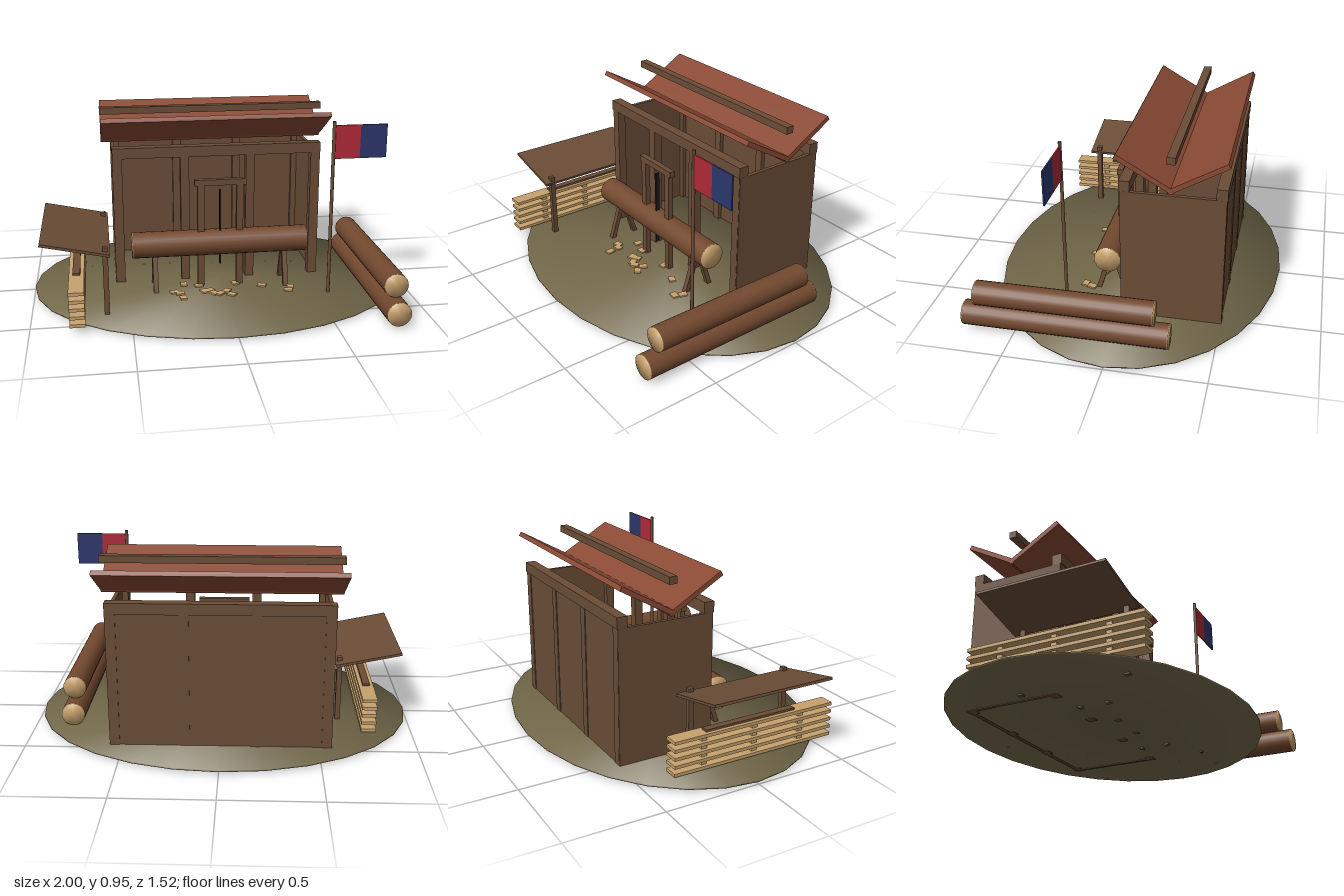
import * as THREE from 'three';

const mat = (name, color, side = THREE.FrontSide) => {
  const m = new THREE.MeshStandardMaterial({ color, side });
  m.name = name;
  return m;
};

export function createModel() {
  const model = new THREE.Group();
  model.name = 'sawmill';
  const timber = mat('timber brown', 0x6b4d37);
  const bark = mat('bark brown', 0x73492f);
  const sawn = mat('sawn wood', 0xc8a26e);
  const roofRed = mat('roof red brown', 0x8a4a35);
  const earth = mat('earth', 0x72684a);
  const steel = mat('dark steel', 0x1a1a1c);
  const red = mat('flag red', 0xb02a38);
  const blue = mat('flag blue', 0x2c376c);

  const add = (name, geometry, material, x, y, z, parent = model) => {
    const m = new THREE.Mesh(geometry, material);
    m.name = name;
    m.position.set(x, y, z);
    parent.add(m);
    return m;
  };
  const box = (name, material, w, h, d, x, y, z, parent) =>
    add(name, new THREE.BoxGeometry(w, h, d), material, x, y, z, parent);

  // Cylinder with softly rounded shading over its rims
  const softCylinder = (r, h, sides) => {
    const g = new THREE.CylinderGeometry(r, r, h, sides);
    const p = g.attributes.position;
    const n = new THREE.Vector3();
    for (let i = 0; i < p.count; i++) {
      n.set(p.getX(i) / r, Math.sign(p.getY(i)), p.getZ(i) / r).normalize();
      g.attributes.normal.setXYZ(i, n.x, n.y, n.z);
    }
    return g;
  };

  // Log lying along x or z, with pale cut ends
  const log = (name, r, length, axis, x, y, z) => {
    const g = new THREE.Group();
    g.name = name;
    add('bark', new THREE.CylinderGeometry(r, r, length - 0.008, 20, 1, true), bark, 0, 0, 0, g);
    for (const s of [-1, 1]) {
      add('cutEnd', softCylinder(r * 0.99, 0.008, 20), sawn, 0, s * (length / 2 - 0.004), 0, g);
    }
    if (axis === 'x') g.rotation.z = Math.PI / 2;
    else g.rotation.x = Math.PI / 2;
    g.position.set(x, y, z);
    model.add(g);
  };

  // Oval ground
  add('ground', softCylinder(1, 0.008, 28), earth, 0, 0.012, 0).scale.z = 0.762;

  // Shed: open front, posts, solid back and sides
  const shed = new THREE.Group();
  shed.name = 'shed';
  model.add(shed);
  for (const z of [-0.012, -0.483]) {
    for (const x of [-0.535, -0.178, 0.178, 0.535]) {
      box('post', timber, 0.047, 0.71, 0.047, x, 0.36, z, shed);
    }
    box('topPlate', timber, 1.125, 0.057, 0.055, 0, 0.743, z, shed);
  }
  box('backWall', timber, 1.1, 0.71, 0.02, 0, 0.36, -0.492, shed);
  for (const s of [-1, 1]) {
    box('sideWall', timber, 0.02, 0.71, 0.515, s * 0.553, 0.36, -0.248, shed);
  }

  // Roof slopes meeting in a valley, with the long beam above
  for (const s of [-1, 1]) {
    const slope = box('roofSlope', roofRed, 1.235, 0.025, 0.325, 0, 0.842, -0.248 + s * 0.127, shed);
    slope.rotation.x = -s * Math.PI / 6;
  }
  box('ridgeBeam', timber, 1.24, 0.037, 0.042, 0, 0.925, -0.248, shed);

  // Log on trestles with the upright saw frame
  log('benchLog', 0.07, 0.945, 'x', -0.003, 0.26, 0.1);
  for (const x of [-0.355, 0.35]) {
    for (const s of [-1, 1]) {
      const leg = box('trestleLeg', timber, 0.027, 0.23, 0.025, x, 0.11, 0.1 + s * 0.045);
      leg.rotation.x = -s * 0.3;
    }
  }
  for (const s of [-1, 1]) {
    box('sawFramePost', timber, 0.036, 0.58, 0.03, s * 0.105, 0.295, 0.105);
  }
  box('sawFrameBar', timber, 0.275, 0.032, 0.032, 0, 0.597, 0.105);
  box('sawBlade', steel, 0.008, 0.415, 0.022, 0, 0.345, 0.105);

  // Scattered wood chips
  const chips = [
    [-0.23, 0.22], [-0.22, 0.28], [-0.26, 0.2], [-0.1, 0.21], [-0.07, 0.2], [-0.05, 0.24],
    [-0.02, 0.25], [0.04, 0.27], [0.02, 0.22], [0.22, 0.17], [0.37, 0.21], [0.35, 0.25],
    [-0.2, 0.1], [-0.12, 0.13], [0.08, 0.12],
  ];
  chips.forEach(([x, z], i) => {
    const chip = box('woodChip', sawn, 0.045, 0.008, 0.035, x, 0.021, z);
    chip.rotation.y = i * 1.7;
  });

  // Two stacked logs
  log('lowerLog', 0.063, 1.04, 'z', 0.792, 0.075, 0.237);
  log('upperLog', 0.062, 0.9, 'z', 0.792, 0.199, 0.24);

  // Stack of boards with spacers
  for (let i = 0; i < 5; i++) {
    const y = 0.036 + i * 0.0415;
    box('board', sawn, 0.077, 0.017, 0.925, -0.767, y, 0.12);
    if (i < 4) {
      for (const z of [-0.17, 0.12, 0.4]) {
        box('spacer', sawn, 0.04, 0.0245, 0.03, -0.767, y + 0.0208, z);
      }
    }
  }
  box('stackBatten', timber, 0.038, 0.012, 0.52, -0.767, 0.216, 0.1);

  // Lean-to cover and its posts
  box('leanToCover', timber, 0.348, 0.014, 0.675, -0.767, 0.378, 0.122).rotation.z = -0.21;
  for (const z of [-0.15, 0.41]) {
    box('leanToPost', timber, 0.027, 0.373, 0.027, -0.62, 0.187, z);
  }

  // Flag on a pole
  add('flagPole', new THREE.CylinderGeometry(0.009, 0.009, 0.945, 10), timber, 0.557, 0.473, 0.295);
  box('flagRed', red, 0.131, 0.175, 0.008, 0.63, 0.838, 0.295);
  box('flagBlue', blue, 0.14, 0.175, 0.008, 0.7655, 0.838, 0.295);

  return model;
}
